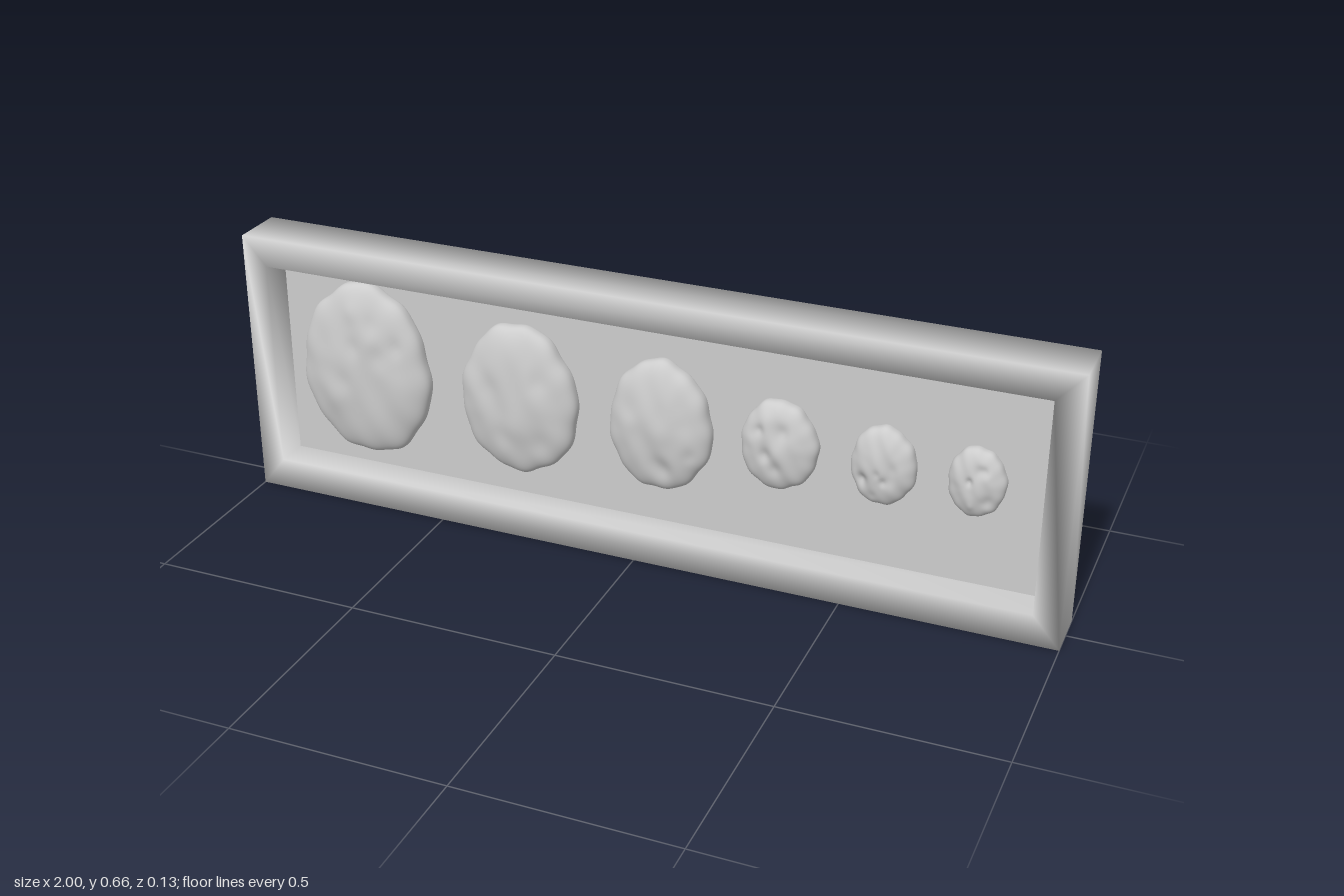
import * as THREE from 'three';
import { mergeVertices } from 'three/addons/utils/BufferGeometryUtils.js';

const stone = new THREE.MeshStandardMaterial({ color: 0xcccccc });
stone.name = 'grey stone';

const FLOOR = -0.015;
const OPEN = { l: -0.94, r: 0.936, b: 0.075, t: 0.59 };

// small seeded random generator
function seeded(seed) {
  let s = seed * 7919 + 17;
  return () => (s = (s * 16807) % 2147483647) / 2147483647;
}

// frame shell: rings from back to front, over the lip and down to the recess floor
function frameGeometry() {
  const ring = (l, r, b, t, z) => [[l, b, z], [r, b, z], [r, t, z], [l, t, z]];
  const { l, r, b, t } = OPEN;
  const rings = [
    ring(-1, 1, 0, 0.66, -0.065),
    ring(-1, 1, 0, 0.66, 0.065),
    ring(l, r, b, t, 0.065),
    ring(l, r, b, t, FLOOR),
  ];
  const index = [0, 2, 1, 0, 3, 2]; // back face
  for (let k = 0; k < 3; k++) {
    for (let i = 0; i < 4; i++) {
      const a = k * 4 + i, c = k * 4 + ((i + 1) % 4);
      index.push(a, c, c + 4, a, c + 4, a + 4);
    }
  }
  const g = new THREE.BufferGeometry();
  g.setAttribute('position', new THREE.Float32BufferAttribute(rings.flat(2), 3));
  g.setIndex(index);
  g.computeVertexNormals();
  return g;
}

// flattened pebble with a wavy outline, soft bumps and a few dents
function pebbleGeometry(rx, ry, rz, seed) {
  const rand = seeded(seed);
  for (let i = 0; i < 5; i++) rand();
  const phase = Array.from({ length: 6 }, () => rand() * Math.PI * 2);
  const dents = Array.from({ length: 9 }, () => {
    const a = rand() * Math.PI * 2, d = Math.sqrt(rand()) * 0.75;
    return { u: Math.cos(a) * d, v: Math.sin(a) * d, w: 0.1 + rand() * 0.1, h: rand() * 0.32 - 0.22 };
  });
  let g = new THREE.IcosahedronGeometry(1, 18);
  g.deleteAttribute('normal');
  g.deleteAttribute('uv');
  g = mergeVertices(g, 1e-4);
  const p = g.attributes.position;
  for (let i = 0; i < p.count; i++) {
    const x = p.getX(i), y = p.getY(i), z = p.getZ(i);
    const a = Math.atan2(y, x), rim = Math.hypot(x, y);
    const wave = 1 + rim * (0.015 * Math.sin(3 * a + phase[0]) + 0.015 * Math.sin(7 * a + phase[1])
      + 0.01 * Math.sin(13 * a + phase[2]));
    let h = Math.sign(z) * Math.pow(Math.abs(z), 0.8);
    if (z > 0) {
      let bump = 0.04 * Math.sin(6 * x + phase[3]) * Math.sin(5 * y + phase[4])
        + 0.025 * Math.sin(11 * x + 7 * y + phase[5]);
      for (const d of dents) bump += d.h * Math.exp(-((x - d.u) ** 2 + (y - d.v) ** 2) / (d.w * d.w));
      h += bump * z;
    }
    p.setXYZ(i, x * wave * rx, y * wave * ry, h * rz);
  }
  g.computeVertexNormals();
  return g;
}

export function createModel() {
  const model = new THREE.Group();
  model.name = 'pebble plaque';
  const add = (name, geometry, x = 0, y = 0, z = 0) => {
    const mesh = new THREE.Mesh(geometry, stone);
    mesh.name = name;
    mesh.position.set(x, y, z);
    model.add(mesh);
  };

  add('frame', frameGeometry());

  // flat recess floor
  add('recessPanel', new THREE.PlaneGeometry(OPEN.r - OPEN.l, OPEN.t - OPEN.b),
    (OPEN.l + OPEN.r) / 2, (OPEN.b + OPEN.t) / 2, FLOOR);

  // pebbles in a row, shrinking to the right: x, y, half width, half height, half depth
  const pebbles = [
    [-0.722, 0.334, 0.168, 0.22, 0.055],
    [-0.316, 0.329, 0.147, 0.188, 0.052],
    [0.04, 0.329, 0.124, 0.162, 0.05],
    [0.326, 0.335, 0.09, 0.109, 0.042],
    [0.567, 0.332, 0.074, 0.095, 0.038],
    [0.776, 0.334, 0.064, 0.083, 0.034],
  ];
  pebbles.forEach(([x, y, rx, ry, rz], i) =>
    add('pebble' + (i + 1), pebbleGeometry(rx, ry, rz, i + 3), x, y, FLOOR + rz * 0.2));

  return model;
}
